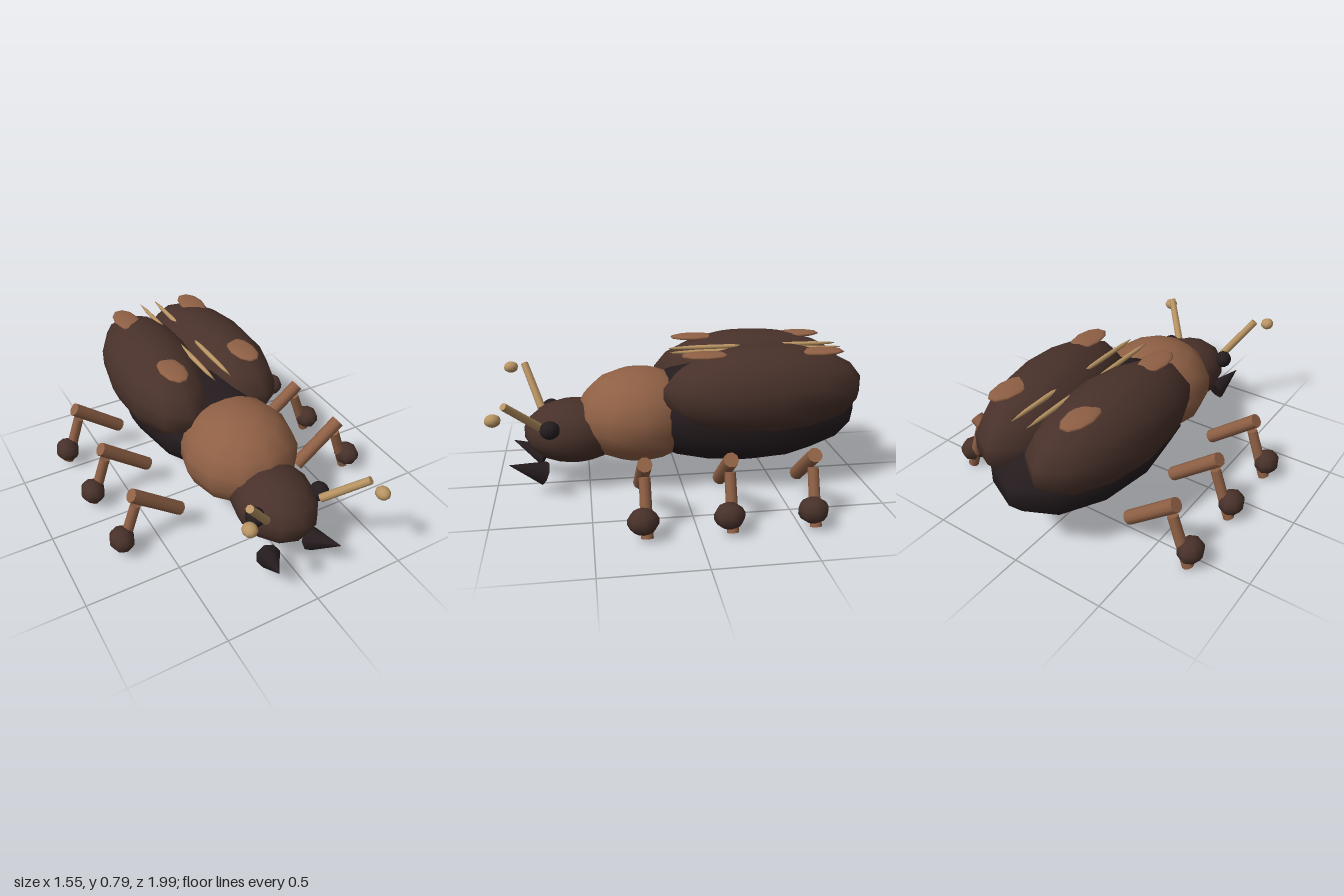
import * as THREE from 'three';

const material = (name, color) => {
  const m = new THREE.MeshStandardMaterial({ color });
  m.name = name;
  return m;
};

export function createModel() {
  const shell = material('dark brown shell', 0x48312a);
  const chestnut = material('chestnut', 0x8f6045);
  const black = material('near black', 0x251c1e);
  const tan = material('tan', 0xb99463);
  const beetle = new THREE.Group();
  beetle.name = 'beetle';

  const add = (name, geometry, mat) => {
    const mesh = new THREE.Mesh(geometry, mat);
    mesh.name = name;
    beetle.add(mesh);
    return mesh;
  };

  // Faceted ellipsoid with smooth normals
  const ellipsoid = (name, mat, center, radii, sides = 12, rings = 9) => {
    const geometry = new THREE.SphereGeometry(1, sides, rings);
    geometry.scale(...radii);
    const mesh = add(name, geometry, mat);
    mesh.position.set(...center);
    return mesh;
  };

  // Round bar or cone running from point a to point b
  const bar = (name, mat, a, b, ra, rb, sides = 10) => {
    const start = new THREE.Vector3(...a), end = new THREE.Vector3(...b);
    const dir = end.clone().sub(start);
    const mesh = add(name, new THREE.CylinderGeometry(rb, ra, dir.length(), sides), mat);
    mesh.position.copy(start).add(end).multiplyScalar(0.5);
    mesh.quaternion.setFromUnitVectors(new THREE.Vector3(0, 1, 0), dir.normalize());
    return mesh;
  };

  // Body
  ellipsoid('abdomen', black, [0, 0.395, -0.345], [0.372, 0.28, 0.665]);
  ellipsoid('thorax', chestnut, [0, 0.385, 0.22], [0.305, 0.255, 0.34]);
  ellipsoid('head', shell, [0, 0.307, 0.57], [0.208, 0.173, 0.27]);

  for (const s of [1, -1]) {
    const side = s > 0 ? 'left' : 'right';

    // Wing case, closing slightly toward the tail
    const wing = ellipsoid(side + 'WingCase', shell, [s * 0.18, 0.545, -0.43], [0.25, 0.243, 0.55]);
    wing.rotation.y = s * 0.075;

    // Markings on the wing case
    for (const z of [-0.11, -0.71]) {
      ellipsoid(side + 'WingPatch', chestnut, [s * 0.21, 0.751, z], [0.07, 0.016, 0.13], 10, 8);
    }
    for (const z of [-0.18, -0.65]) {
      ellipsoid(side + 'WingStripe', tan, [s * 0.046, 0.728, z], [0.013, 0.013, 0.235], 8, 6);
    }

    // Face
    ellipsoid(side + 'Eye', black, [s * 0.185, 0.378, 0.695], [0.048, 0.048, 0.052], 14, 10);
    bar(side + 'Mandible', black, [s * 0.125, 0.115, 0.738], [s * 0.18, 0.195, 0.915], 0.064, 0, 8);

    // Antennae, raised unevenly
    const tip = s > 0 ? [0.31, 0.56, 0.905] : [-0.305, 0.605, 0.835];
    const knob = s > 0 ? [0.348, 0.503, 0.955] : [-0.352, 0.573, 0.915];
    bar(side + 'Antenna', tan, [s * 0.157, 0.388, 0.748], tip, 0.022, 0.02, 8);
    ellipsoid(side + 'AntennaKnob', tan, knob, [0.036, 0.032, 0.04], 10, 8);

    // Three legs
    for (const z of [0.25, -0.16, -0.57]) {
      bar(side + 'UpperLeg', chestnut, [s * 0.367, 0.142, z], [s * 0.63, 0.352, z], 0.037, 0.037);
      bar(side + 'LowerLeg', chestnut, [s * 0.612, 0.28, z], [s * 0.708, 0.01, z], 0.028, 0.03);
      ellipsoid(side + 'Foot', shell, [s * 0.708, 0.1, z + 0.018], [0.067, 0.065, 0.077], 8, 7);
    }
  }
  return beetle;
}
